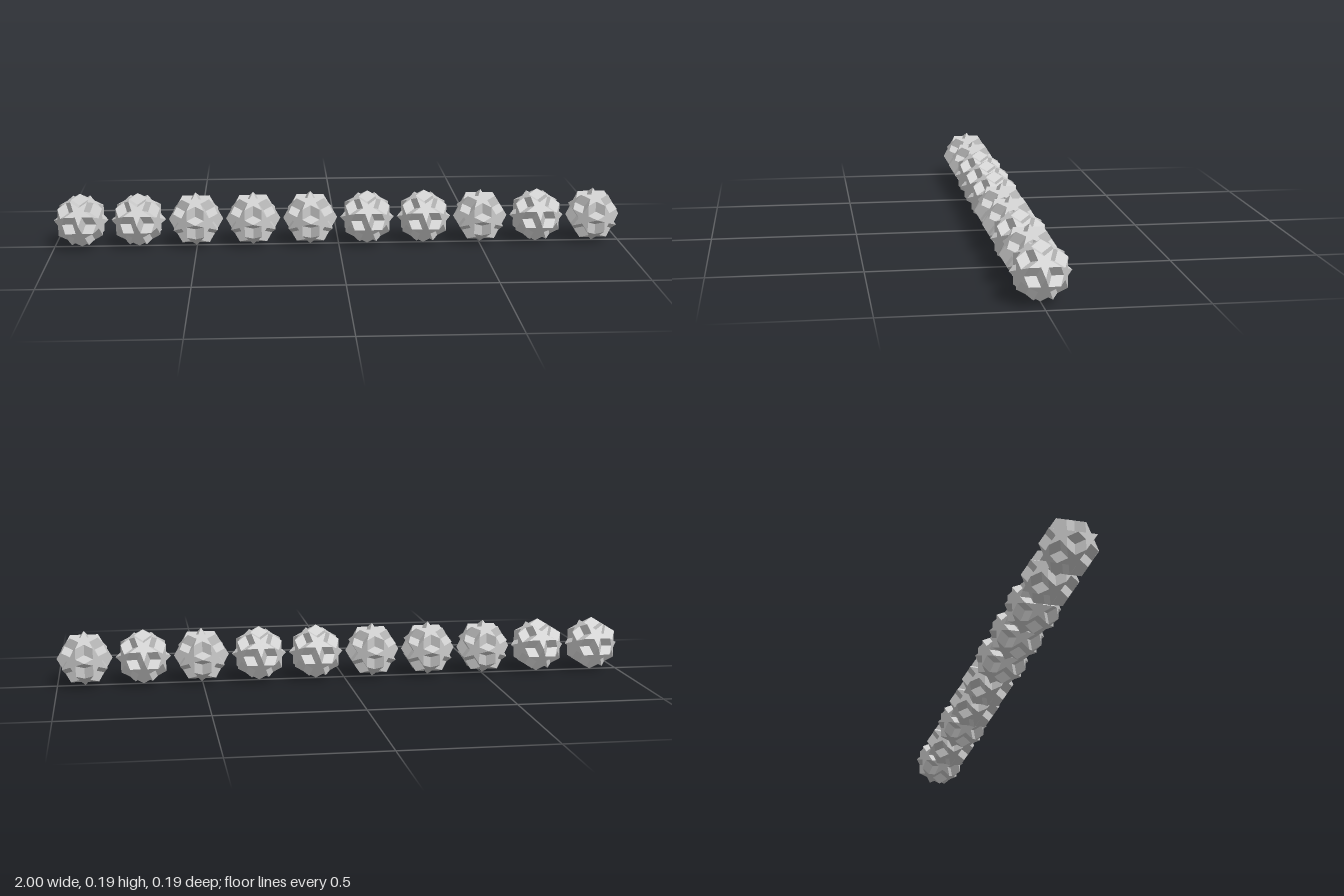
import * as THREE from 'three';

const R = 0.0955, COUNT = 10, END = 1 - R;
const P = (1 + Math.sqrt(5)) / 2;

// Cyclic permutations of (a, b, c) with every sign
function signedCycles(a, b, c) {
  const out = [];
  const signs = (v) => (v === 0 ? [0] : [1, -1]);
  for (const i of signs(a)) for (const j of signs(b)) for (const k of signs(c)) {
    const p = [a * i, b * j, c * k];
    for (let s = 0; s < 3; s++) out.push(new THREE.Vector3(p[s % 3], p[(s + 1) % 3], p[(s + 2) % 3]));
  }
  return out;
}

// Star solid: 12 outer pentagrams crossing 12 deeper pentagons on 30 shared corners
function starGeometry() {
  const corners = [...signedCycles(1, 0, 0), ...signedCycles(0.5, P / 2, 0.5 / P)];
  const axes = signedCycles(P, 1, 0).map((v) => v.normalize());
  const pos = [];
  for (const n of axes) {
    // Ring of five corners at a given height along the axis, joined with a step
    for (const [height, step] of [[0.8507, 2], [0.5257, 1]]) {
      const centre = n.clone().multiplyScalar(height);
      const ring = corners.filter((v) => Math.abs(v.dot(n) - height) < 0.01);
      const u = ring[0].clone().sub(centre).normalize();
      const w = n.clone().cross(u);
      const angle = (v) => Math.atan2(v.dot(w), v.dot(u));
      ring.sort((a, b) => angle(a) - angle(b));
      ring.forEach((v, i) => {
        for (const q of [centre, v, ring[(i + step) % 5]]) pos.push(q.x * R, q.y * R, q.z * R);
      });
    }
  }
  const g = new THREE.BufferGeometry();
  g.setAttribute('position', new THREE.Float32BufferAttribute(pos, 3));
  g.computeVertexNormals();
  return g;
}

export function createModel() {
  const model = new THREE.Group();
  model.name = 'starBallRow';
  const geometry = starGeometry();
  const material = new THREE.MeshStandardMaterial({
    color: 0xcccccc, flatShading: true, side: THREE.DoubleSide,
  });
  // Balls turned a quarter so that neighbours differ
  const turned = [1, 1, 0, 0, 0, 1, 1, 0, 1, 0];
  for (let i = 0; i < COUNT; i++) {
    const ball = new THREE.Mesh(geometry, material);
    ball.name = `starBall${i + 1}`;
    ball.position.set(-END + (2 * END * i) / (COUNT - 1), R, 0);
    ball.rotation.z = turned[i] * Math.PI / 2;
    model.add(ball);
  }
  return model;
}
